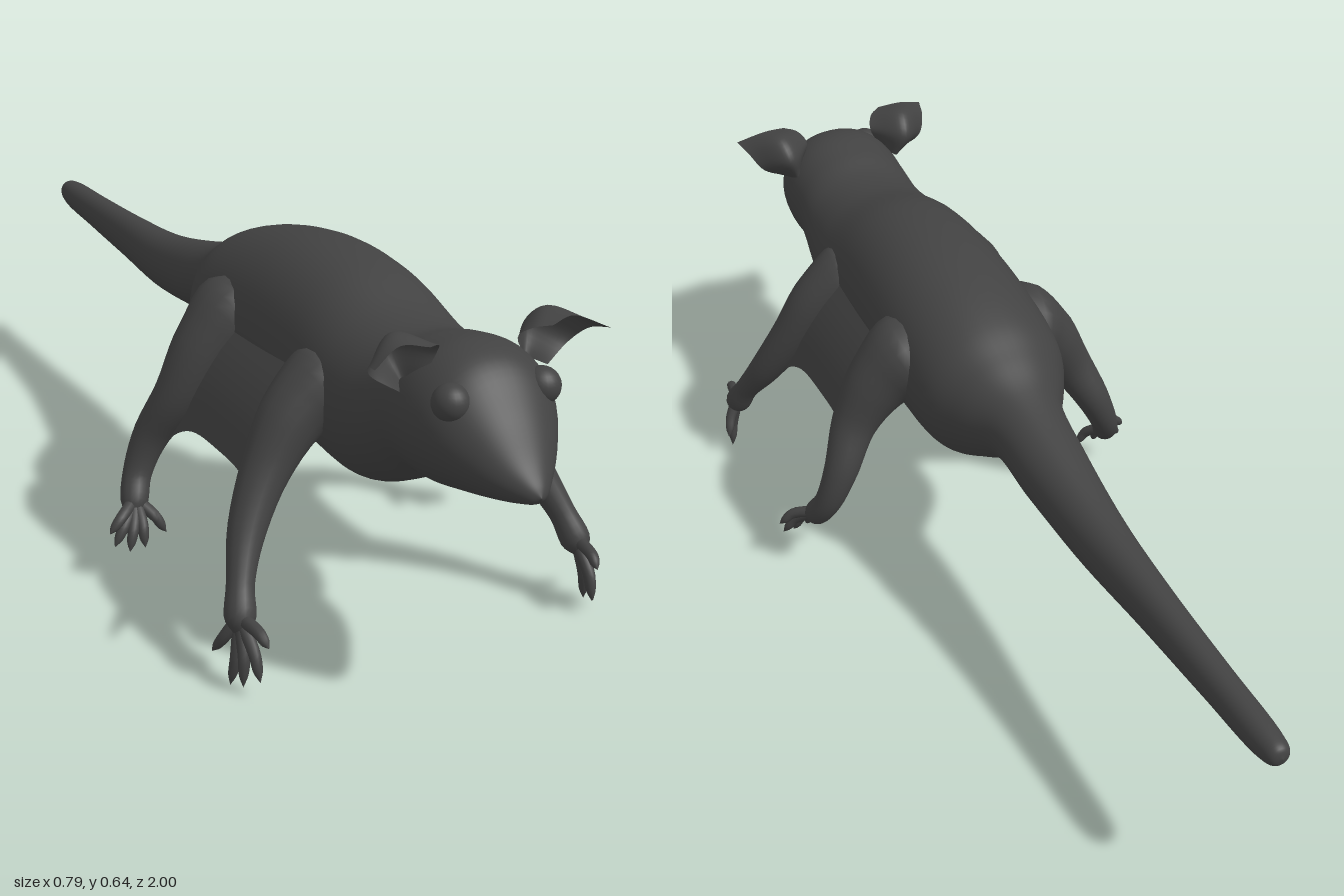
import * as THREE from 'three';

const fur = new THREE.MeshStandardMaterial({ color: 0x424242, roughness: 0.9 });
const thinFur = fur.clone();
thinFur.side = THREE.DoubleSide;

// Smooth surface over a grid of rows and columns; side = -1 mirrors it in x.
function surface(name, rows, cols, closed, point, side = 1, material = fur) {
  const pos = [], index = [];
  const perRow = closed ? cols : cols + 1;
  for (let i = 0; i <= rows; i++) {
    for (let j = 0; j < perRow; j++) {
      const p = point(i / rows, j / cols);
      pos.push(p.x * side, p.y, p.z);
    }
  }
  for (let i = 0; i < rows; i++) {
    for (let j = 0; j < cols; j++) {
      const k = (j + 1) % perRow;
      const a = i * perRow + j, b = i * perRow + k;
      const c = a + perRow, d = b + perRow;
      if (side > 0) index.push(a, b, c, b, d, c);
      else index.push(a, c, b, b, c, d);
    }
  }
  const geo = new THREE.BufferGeometry();
  geo.setAttribute('position', new THREE.Float32BufferAttribute(pos, 3));
  geo.setIndex(index);
  geo.computeVertexNormals();
  const mesh = new THREE.Mesh(geo, material);
  mesh.name = name;
  return mesh;
}

const spline = (pts) => new THREE.CatmullRomCurve3(pts.map((p) => new THREE.Vector3(...p)));

// Tapered tube through stations [x, y, z, radius], closed at both ends.
function limb(name, stations, side, sides = 20, rows = 32) {
  const path = spline(stations.map((s) => s.slice(0, 3)));
  const radius = spline(stations.map((s, i) => [i, s[3], 0]));
  const ref = new THREE.Vector3(1, 1, 0.3);
  return surface(name, rows, sides, true, (t, a) => {
    const dir = path.getTangent(t);
    const n = dir.clone().cross(ref).normalize();
    const b = dir.clone().cross(n);
    const r = Math.max(radius.getPoint(t).y, 0);
    const th = a * Math.PI * 2;
    return path.getPoint(t).addScaledVector(n, r * Math.cos(th)).addScaledVector(b, r * Math.sin(th));
  }, side);
}

// Body stations from tail tip to nose: [z, top, bottom, half width]
const BODY = [
  [-1, 0.375, 0.374, 0], [-0.992, 0.393, 0.355, 0.018], [-0.96, 0.4, 0.344, 0.026],
  [-0.8, 0.407, 0.333, 0.031], [-0.6, 0.417, 0.323, 0.038], [-0.4, 0.433, 0.316, 0.051],
  [-0.22, 0.47, 0.332, 0.066], [-0.1, 0.505, 0.35, 0.078], [-0.03, 0.54, 0.315, 0.115],
  [0.04, 0.575, 0.28, 0.148], [0.15, 0.607, 0.275, 0.158], [0.3, 0.629, 0.282, 0.157],
  [0.45, 0.622, 0.28, 0.152], [0.58, 0.585, 0.28, 0.147], [0.66, 0.58, 0.315, 0.135],
  [0.73, 0.598, 0.357, 0.127], [0.8, 0.608, 0.363, 0.127], [0.86, 0.59, 0.375, 0.114],
  [0.92, 0.525, 0.387, 0.079], [0.965, 0.465, 0.398, 0.042], [0.99, 0.437, 0.407, 0.018],
  [1, 0.42, 0.419, 0],
];

function makeBody() {
  const heights = spline(BODY.map(([z, top, bottom]) => [z, top, bottom]));
  const widths = spline(BODY.map(([z, , , w]) => [z, w, 0]));
  return surface('bodyHeadAndTail', 132, 48, true, (t, a) => {
    const h = heights.getPoint(t);
    const w = Math.max(widths.getPoint(t).y, 0);
    const th = a * Math.PI * 2, c = Math.cos(th), s = Math.sin(th);
    const x = w * Math.sign(c) * Math.abs(c) ** 0.92;
    return new THREE.Vector3(x, (h.y + h.z) / 2 + s * (h.y - h.z) / 2, h.x);
  });
}

// Ear rows from base to forward-curling rim, each inner, middle, outer
const EAR = [
  [[0.09, 0.565, 0.8], [0.113, 0.55, 0.765], [0.135, 0.543, 0.8]],
  [[0.073, 0.602, 0.805], [0.13, 0.6, 0.748], [0.18, 0.572, 0.79]],
  [[0.085, 0.622, 0.828], [0.14, 0.636, 0.78], [0.2, 0.6, 0.815]],
  [[0.11, 0.628, 0.845], [0.155, 0.634, 0.835], [0.211, 0.612, 0.856]],
];

function makeEar(side) {
  const lines = EAR.map(spline);
  return surface('ear', 16, 20, false, (v, u) =>
    new THREE.CatmullRomCurve3(lines.map((l) => l.getPoint(u))).getPoint(v), side, thinFur);
}

// Gliding skin from the flank to an arched free edge between the legs
function makeMembrane(side) {
  const slope = spline([[0.125, 0.5, 0], [0.185, 0.425, 0], [0.225, 0.35, 0], [0.24, 0.29, 0]]);
  return surface('flankMembrane', 10, 24, false, (v, u) => {
    const p = slope.getPoint(v);
    const k = Math.abs(u * 2 - 1) ** 4 * v * v;
    p.x += 0.022 * k;
    p.y -= 0.05 * k;
    p.z = 0.18 + 0.35 * u;
    return p;
  }, side, thinFur);
}

// Curved, clawed digits spreading from a palm to the given tips
function addDigits(group, name, palm, tips, side) {
  for (const tip of tips) {
    const mid = palm.map((p, i) => p + (tip[i] - p) * 0.6);
    mid[1] += 0.008;
    mid[2] += 0.008;
    group.add(limb(name, [[...palm, 0.012], [...mid, 0.0105],
      [...tip.map((p, i) => mid[i] + (p - mid[i]) * 0.6), 0.008], [...tip, 0]], side, 10, 14));
  }
}

function makeFrontLeg(side) {
  const g = new THREE.Group();
  g.name = 'frontLeg';
  g.add(limb('frontLimb', [
    [0.07, 0.46, 0.5, 0], [0.1, 0.445, 0.505, 0.075], [0.165, 0.41, 0.512, 0.061],
    [0.23, 0.325, 0.53, 0.044], [0.283, 0.235, 0.565, 0.033], [0.315, 0.165, 0.608, 0.024],
    [0.33, 0.115, 0.638, 0.026], [0.337, 0.085, 0.65, 0],
  ], side));
  addDigits(g, 'frontDigit', [0.33, 0.12, 0.638], [
    [0.318, 0.1, 0.722], [0.325, 0.03, 0.705], [0.343, 0.012, 0.677],
    [0.35, 0, 0.642], [0.367, 0.05, 0.607],
  ], side);
  return g;
}

function makeHindLeg(side) {
  const g = new THREE.Group();
  g.name = 'hindLeg';
  g.add(limb('hindLimb', [
    [0.07, 0.47, 0.17, 0], [0.11, 0.46, 0.175, 0.085], [0.175, 0.415, 0.182, 0.067],
    [0.235, 0.33, 0.18, 0.046], [0.28, 0.245, 0.152, 0.034], [0.31, 0.175, 0.155, 0.027],
    [0.328, 0.13, 0.183, 0.024], [0.337, 0.105, 0.203, 0],
  ], side));
  addDigits(g, 'hindDigit', [0.325, 0.137, 0.178], [
    [0.393, 0.098, 0.222], [0.385, 0.072, 0.225], [0.36, 0.062, 0.236],
    [0.33, 0.065, 0.237], [0.282, 0.08, 0.222],
  ], side);
  return g;
}

function makeEye(side) {
  const eye = new THREE.Mesh(new THREE.SphereGeometry(0.031, 24, 16), fur);
  eye.name = 'eye';
  eye.position.set(side * 0.082, 0.54, 0.864);
  return eye;
}

export function createModel() {
  const model = new THREE.Group();
  model.name = 'glidingMarsupial';
  model.add(makeBody());
  for (const side of [1, -1]) {
    const half = new THREE.Group();
    half.name = side > 0 ? 'leftSide' : 'rightSide';
    half.add(makeEar(side), makeEye(side), makeMembrane(side), makeFrontLeg(side), makeHindLeg(side));
    model.add(half);
  }
  return model;
}
